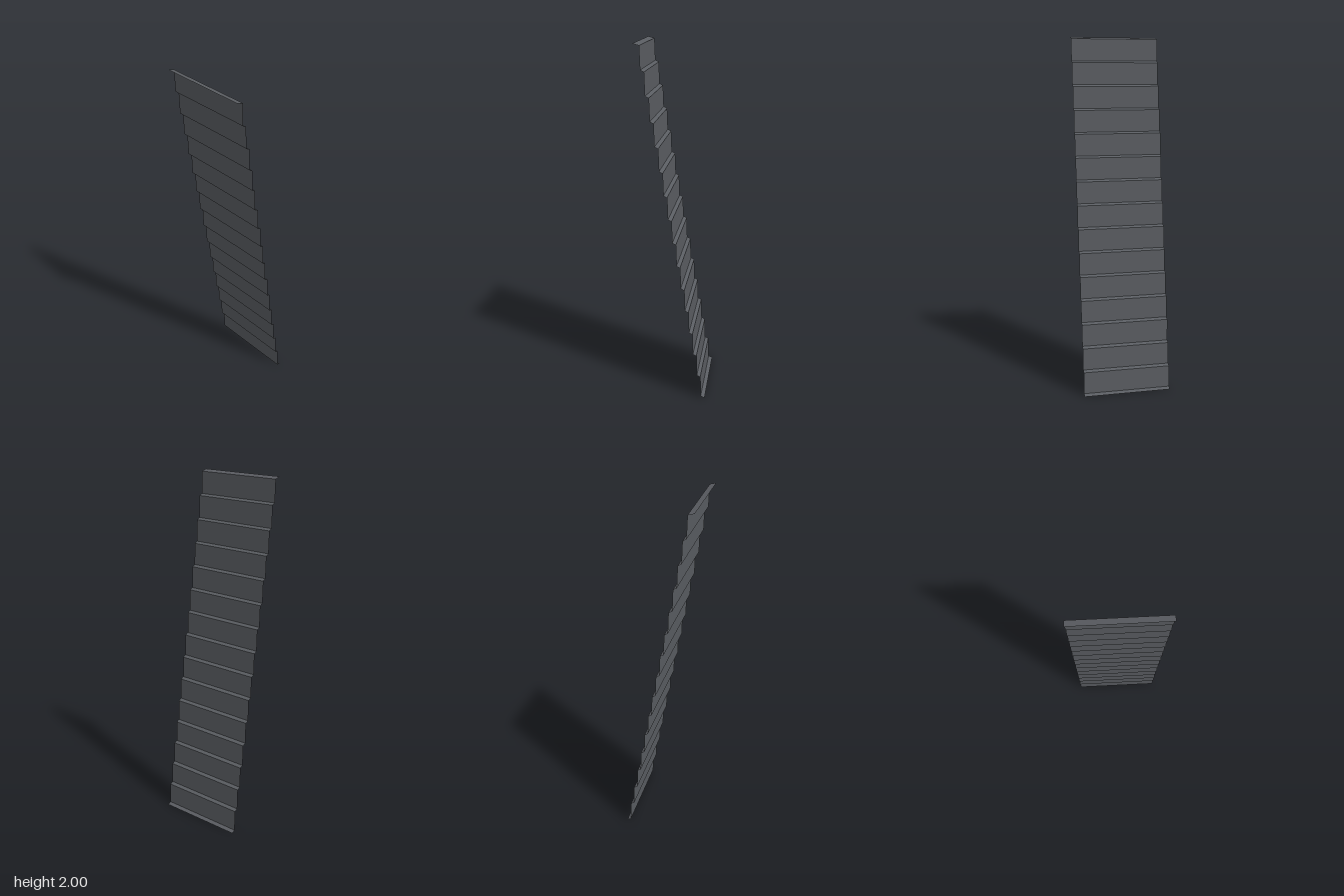
import * as THREE from 'three';

const WIDTH = 0.5;
const PANELS = 15;
const PITCH = 0.1327;   // height of one panel plus its ledge
const RISE = 0.0095;    // upward slope of each ledge
const LEAN = 0.004;     // forward lean of each panel
const LEDGE = 0.0195;   // depth of an inner ledge

export function createModel() {
  const group = new THREE.Group();
  group.name = 'steppedSheet';
  const metal = new THREE.MeshStandardMaterial({ color: 0x5a5d62, side: THREE.DoubleSide });
  metal.name = 'darkGreyMetal';

  // One flat strip across the full width, from a lower to an upper edge [y, z]
  function strip(name, [y0, z0], [y1, z1]) {
    const geometry = new THREE.PlaneGeometry(WIDTH, Math.hypot(y1 - y0, z1 - z0));
    geometry.rotateX(Math.atan2(z1 - z0, y1 - y0));
    geometry.translate(0, (y0 + y1) / 2, (z0 + z1) / 2);
    const mesh = new THREE.Mesh(geometry, metal);
    mesh.name = name;
    group.add(mesh);
  }

  // Ledges and panels climb in turn, each stepping further forward
  let edge = [0, -0.195];
  for (let i = 0; i <= PANELS; i++) {
    const depth = i === 0 ? 0.022 : LEDGE;
    const top = i === PANELS;
    const front = top ? [2, 0.195] : [i * PITCH + RISE, edge[1] + depth];
    strip(i === 0 ? 'bottomFlange' : top ? 'topFlange' : 'ledge', edge, front);
    if (top) break;
    edge = [(i + 1) * PITCH, front[1] + LEAN];
    strip('panel', front, edge);
  }
  return group;
}
